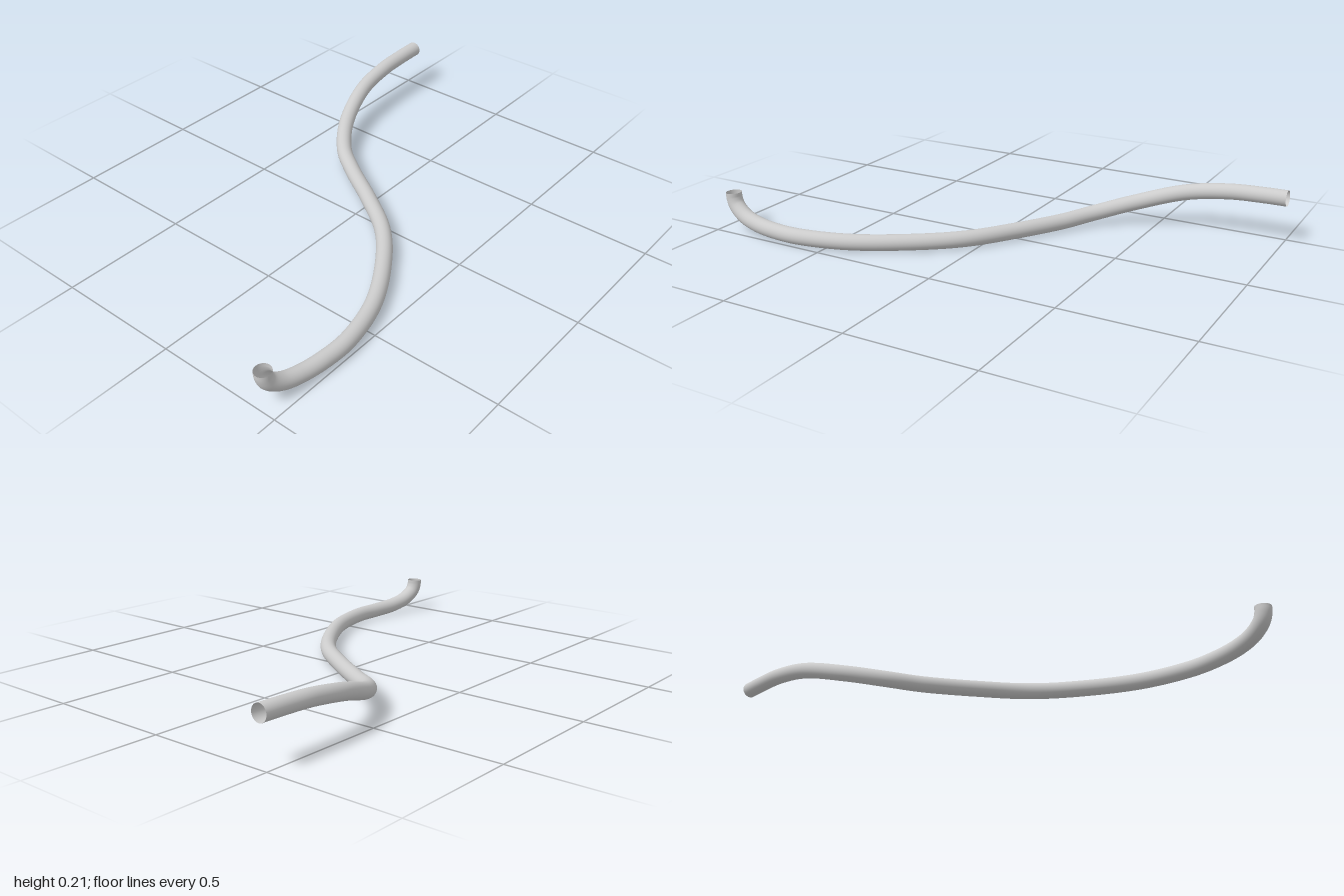
import * as THREE from 'three';

export function createModel() {
  const group = new THREE.Group();
  const material = new THREE.MeshStandardMaterial({ color: 0xcccccc, side: THREE.DoubleSide });

  // Centre line: level raised end, descending bend, flat S-curve, upturned end
  const path = new THREE.CatmullRomCurve3([
    [-0.473, 0.18, -1], [-0.473, 0.178, -0.9], [-0.471, 0.171, -0.77],
    [-0.455, 0.144, -0.6], [-0.39, 0.088, -0.41], [-0.29, 0.05, -0.275],
    [-0.18, 0.036, -0.195], [0, 0.034, -0.08], [0.17, 0.034, 0.045],
    [0.295, 0.034, 0.195], [0.415, 0.034, 0.405], [0.465, 0.034, 0.6],
    [0.465, 0.034, 0.72], [0.453, 0.041, 0.83], [0.441, 0.06, 0.905],
    [0.431, 0.094, 0.953], [0.428, 0.125, 0.966], [0.428, 0.145, 0.967],
  ].map((p) => new THREE.Vector3(...p)));

  // Hollow pipe, open at both ends
  const pipe = new THREE.Mesh(new THREE.TubeGeometry(path, 200, 0.0315, 32, false), material);
  pipe.name = 'bentPipe';
  group.add(pipe);
  return group;
}
